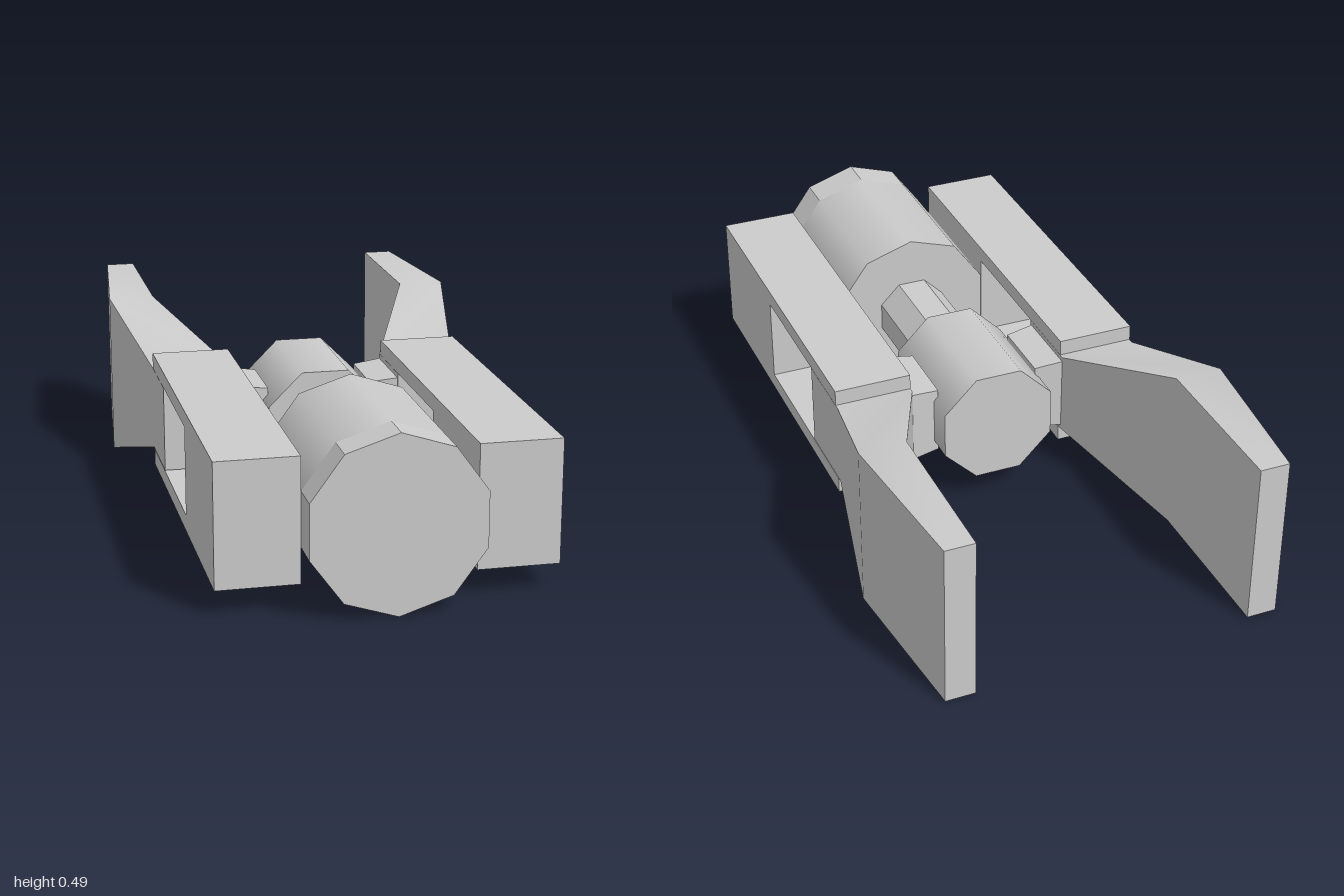
import * as THREE from 'three';
import { toCreasedNormals } from 'three/addons/utils/BufferGeometryUtils.js';

const MID = 0.247; // height of the central axis
const smoothGrey = new THREE.MeshStandardMaterial({ color: 0xcccccc });
const flatGrey = new THREE.MeshStandardMaterial({ color: 0xcccccc, flatShading: true });

// Prism or round bar lying along z, between z0 and z1
function rod(name, radius, sides, z0, z1, start, material) {
  const g = new THREE.CylinderGeometry(radius, radius, z1 - z0, sides, 1, false, start);
  g.rotateX(Math.PI / 2);
  g.translate(0, MID, (z0 + z1) / 2);
  const mesh = new THREE.Mesh(g, material);
  mesh.name = name;
  return mesh;
}

// Closed loft through four-cornered rings; side -1 mirrors it in x
function loft(name, rings, side) {
  const pos = rings.flat().flatMap(([x, y, z]) => [x * side, y, z]);
  const index = [];
  const quad = (a, b, c, d) =>
    side > 0 ? index.push(a, b, c, a, c, d) : index.push(c, b, a, d, c, a);
  for (let r = 0; r < rings.length - 1; r++) {
    for (let i = 0; i < 4; i++) {
      const j = (i + 1) % 4;
      quad(r * 4 + i, r * 4 + j, r * 4 + 4 + j, r * 4 + 4 + i);
    }
  }
  const e = (rings.length - 1) * 4;
  quad(3, 2, 1, 0);
  quad(e, e + 1, e + 2, e + 3);
  const g = new THREE.BufferGeometry();
  g.setAttribute('position', new THREE.Float32BufferAttribute(pos, 3));
  g.setIndex(index);
  const mesh = new THREE.Mesh(toCreasedNormals(g, 0.5), smoothGrey);
  mesh.name = name;
  return mesh;
}

// Side rail: a block forked towards the back by an open slot
function rail(side) {
  const shape = new THREE.Shape([
    [0.905, 0.075], [0.905, 0.416], [-0.13, 0.416], [-0.13, 0.371],
    [0.46, 0.371], [0.46, 0.121], [-0.13, 0.121], [-0.13, 0.075],
  ].map(([z, y]) => new THREE.Vector2(z, y)));
  const g = new THREE.ExtrudeGeometry(shape, { depth: 0.223, bevelEnabled: false });
  g.rotateY(-Math.PI / 2);
  g.translate(side > 0 ? 0.455 : -0.232, 0, 0);
  const mesh = new THREE.Mesh(g, flatGrey);
  mesh.name = 'rail';
  return mesh;
}

// Jaw finger: slim in the slot, flaring to a tall, thin gripping plate
function finger(side) {
  const rings = [
    [0.08, 0.232, 0.455, 0.123],
    [-0.145, 0.232, 0.455, 0.123],
    [-0.53, 0.395, 0.53, 0.241],
    [-1, 0.395, 0.48, 0.241],
  ].map(([z, inner, outer, h]) => [
    [outer, MID - h, z], [inner, MID - h, z], [inner, MID + h, z], [outer, MID + h, z],
  ]);
  return loft('finger', rings, side);
}

// Tapered link joining the sliding head to a finger
function link(side) {
  const rings = [
    [0.15, 0.1, 0.1],
    [0.235, 0.11, 0.11],
  ].map(([x, w, h]) => [
    [x, MID - h, -0.035 + w], [x, MID - h, -0.035 - w],
    [x, MID + h, -0.035 - w], [x, MID + h, -0.035 + w],
  ]);
  return loft('link', rings, side);
}

export function createModel() {
  const model = new THREE.Group();
  model.name = 'gripper';

  // Central actuator
  const eighth = Math.PI / 8;
  model.add(
    rod('endCap', 0.243, 10, 0.9, 1, 0, flatGrey),
    rod('cylinderBody', 0.243, 10, 0.46, 0.9, 0, smoothGrey),
    rod('pistonRod', 0.108, 8, 0.15, 0.46, eighth, flatGrey),
    rod('slidingHead', 0.177, 8, -0.22, 0.15, eighth, smoothGrey),
  );

  // Left and right jaws
  for (const side of [1, -1]) {
    const jaw = new THREE.Group();
    jaw.name = side > 0 ? 'leftJaw' : 'rightJaw';
    jaw.add(rail(side), finger(side), link(side));
    model.add(jaw);
  }
  return model;
}
